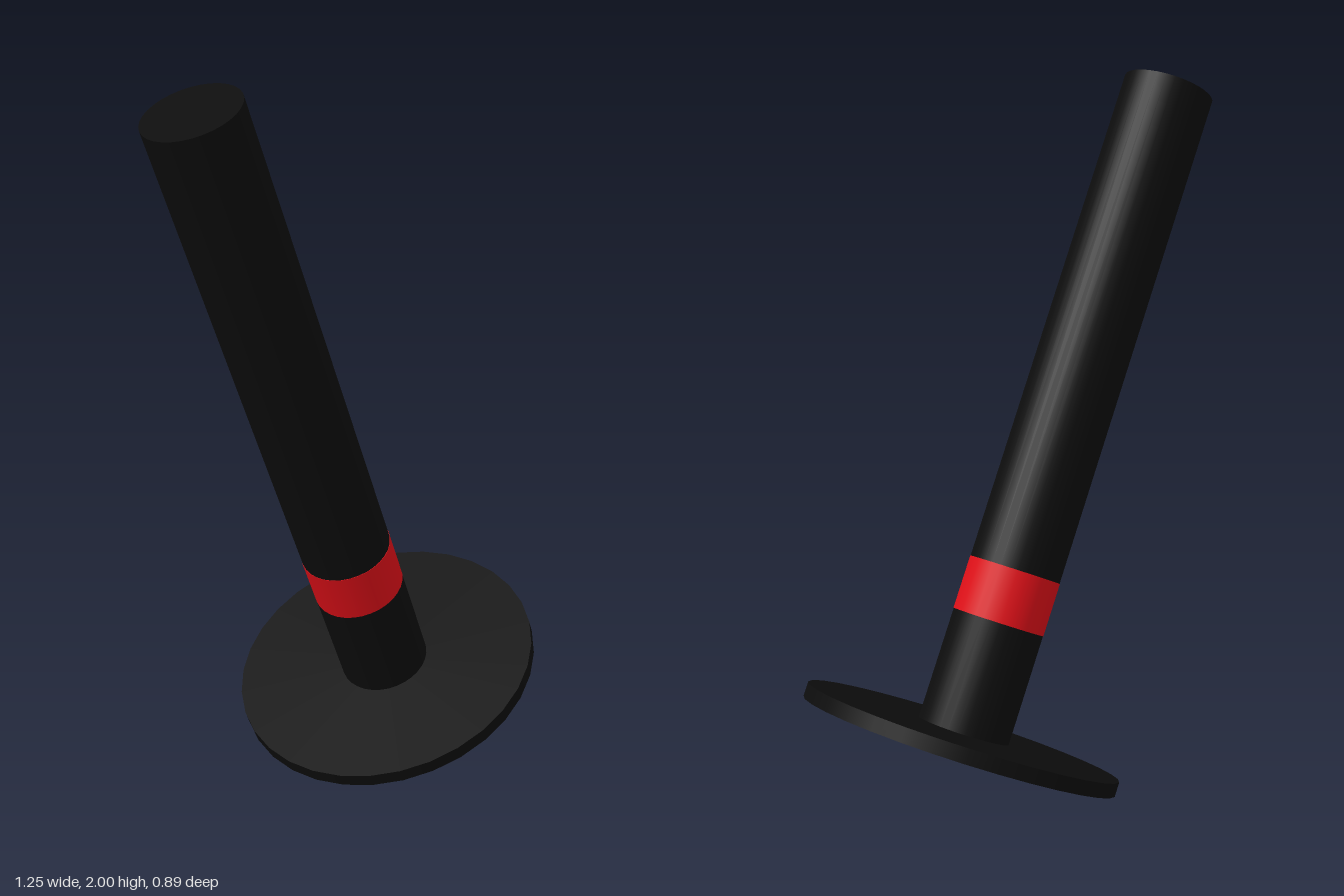
import * as THREE from 'three';

export function createModel() {
  const model = new THREE.Group();
  model.name = 'tiltedPost';

  const black = new THREE.MeshStandardMaterial({ color: 0x0d0d0d });
  const red = new THREE.MeshStandardMaterial({ color: 0xe01018 });

  // All parts share one axis, leaning towards -x from the foot of the disc
  const post = new THREE.Group();
  post.name = 'post';
  post.position.set(0.211, 0.167, 0);
  post.rotation.z = THREE.MathUtils.degToRad(22.07);
  model.add(post);

  // Cylinder spanning bottom..top along the leaning axis
  const addSection = (name, radius, bottom, top, material, open = false) => {
    const geometry = new THREE.CylinderGeometry(radius, radius, top - bottom, 32, 1, open);
    const mesh = new THREE.Mesh(geometry, material);
    mesh.name = name;
    mesh.position.y = (bottom + top) / 2;
    post.add(mesh);
  };

  addSection('baseDisc', 0.445, 0, 0.04, black);
  addSection('lowerShaft', 0.129, 0.04, 0.35, black);
  addSection('redBand', 0.13, 0.35, 0.5, red);
  addSection('upperShaft', 0.129, 0.5, 1.924, black);

  return model;
}
